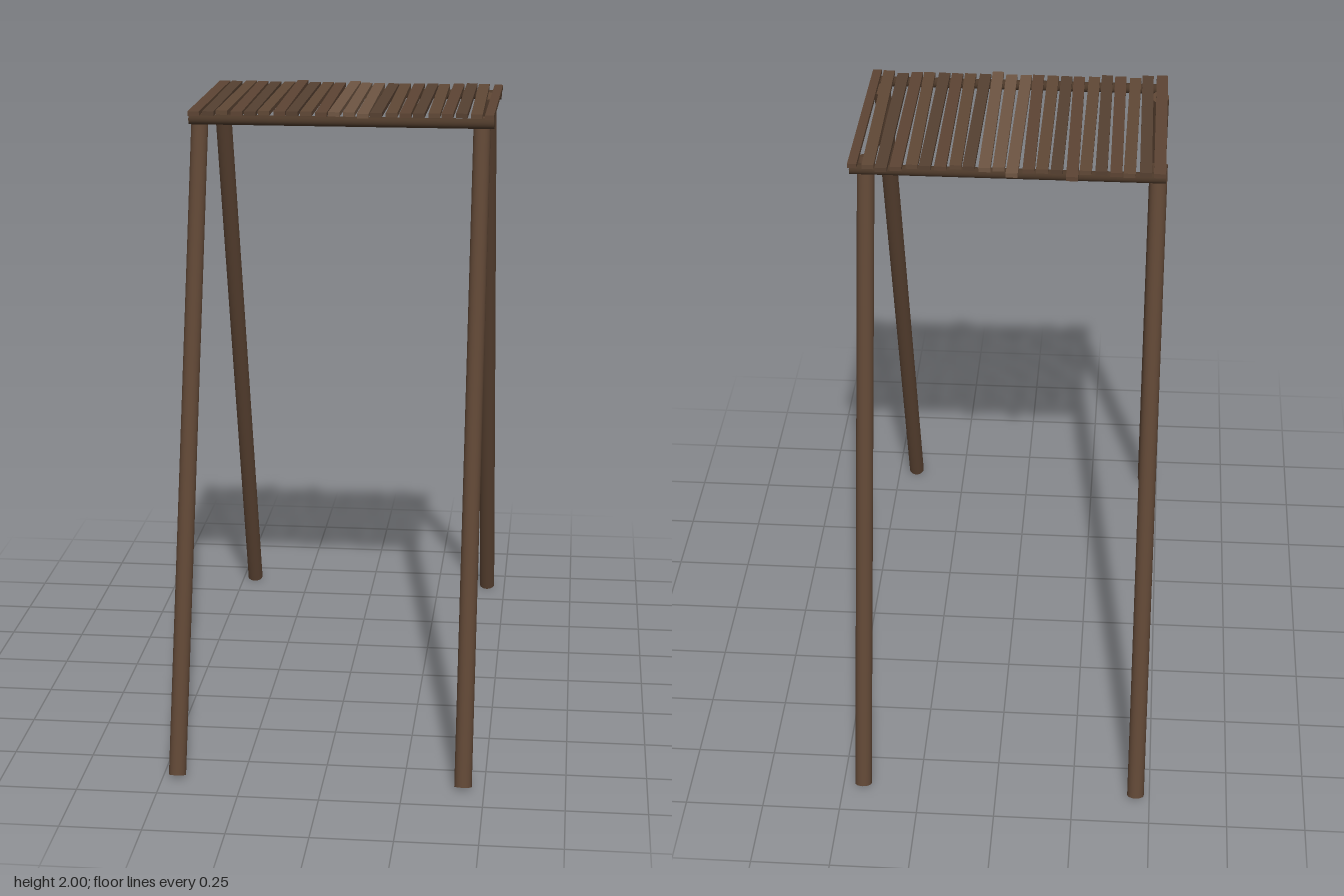
import * as THREE from 'three';

const wood = (color) => new THREE.MeshStandardMaterial({ color });

// Round pole between two points
function pole(name, a, b, radius, material) {
  const dir = b.clone().sub(a);
  const mesh = new THREE.Mesh(new THREE.CylinderGeometry(radius, radius, dir.length(), 20), material);
  mesh.position.copy(a).add(b).multiplyScalar(0.5);
  mesh.quaternion.setFromUnitVectors(new THREE.Vector3(0, 1, 0), dir.normalize());
  mesh.name = name;
  return mesh;
}

export function createModel() {
  const group = new THREE.Group();
  group.name = 'woodenPlatform';
  const poleWood = wood(0x5c4433);
  const railWood = wood(0x4a3728);
  const v = (x, y, z) => new THREE.Vector3(x, y, z);

  for (const side of [1, -1]) {
    const end = side > 0 ? 'front' : 'back';
    // Splayed legs
    for (const x of [-0.455, 0.435]) {
      group.add(pole(end + (x > 0 ? 'LeftLeg' : 'RightLeg'),
        v(x, 0.009, side * 0.882), v(x, 1.976, side * 0.226), 0.027, poleWood));
    }
    // Rails carrying the deck
    group.add(pole(end + 'Rail', v(-0.478, 1.969, side * 0.299), v(0.476, 1.969, side * 0.299), 0.016, railWood));
  }

  // Deck planks with uneven ends: back and front reach of each
  const back = [0.33, 0.325, 0.335, 0.33, 0.325, 0.325, 0.365, 0.325, 0.325, 0.325, 0.355,
    0.32, 0.325, 0.32, 0.315, 0.325, 0.325, 0.32, 0.335, 0.345, 0.33, 0.325];
  const front = [0.335, 0.33, 0.31, 0.32, 0.325, 0.31, 0.31, 0.31, 0.31, 0.315, 0.31,
    0.31, 0.33, 0.31, 0.31, 0.31, 0.31, 0.31, 0.31, 0.3, 0.315, 0.32];
  const tones = [0x5c4433, 0x554031, 0x604836].map(wood);
  const paleWood = wood(0x6e5542);
  const deck = new THREE.Group();
  deck.name = 'deck';
  back.forEach((b, i) => {
    const f = front[i];
    const width = i === 21 ? 0.028 : 0.036;
    const pale = i >= 10 && i <= 12;
    const plank = new THREE.Mesh(new THREE.BoxGeometry(width, 0.014, b + f), pale ? paleWood : tones[i % 3]);
    plank.position.set(-0.459 + i * 0.0439, 1.992 + (i % 3) * 0.0005, (f - b) / 2);
    plank.rotation.y = 0.008 * Math.sin(i * 2.3);
    plank.name = 'plank' + (i + 1);
    deck.add(plank);
  });
  group.add(deck);
  return group;
}
